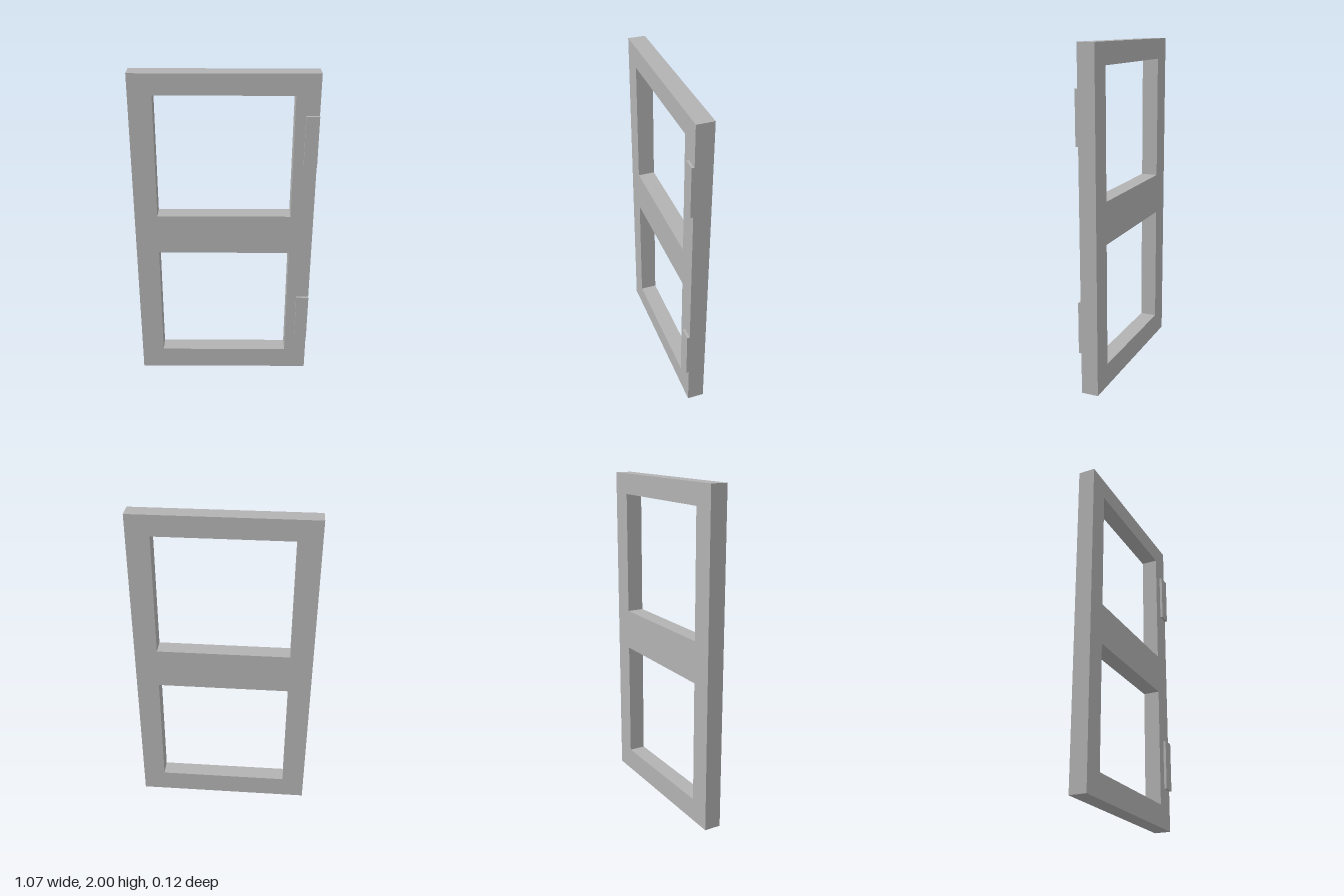
import * as THREE from 'three';

const W = 0.537, BACK = -0.059, FRONT = 0.043, PLATE_FRONT = 0.059;

// Counter-clockwise rectangle added to a shape or path
function rect(path, x0, y0, x1, y1) {
  path.moveTo(x0, y0);
  path.lineTo(x1, y0);
  path.lineTo(x1, y1);
  path.lineTo(x0, y1);
  path.closePath();
  return path;
}

export function createModel() {
  const group = new THREE.Group();
  group.name = 'doorFrame';
  const grey = new THREE.MeshStandardMaterial({ color: 0xb2b2b2 });
  grey.name = 'grey';

  // Frame with two openings, separated by a middle rail
  const outline = rect(new THREE.Shape(), -W, 0, W, 2);
  for (const [y0, y1] of [[0.14, 0.877], [1.127, 1.875]]) {
    outline.holes.push(rect(new THREE.Path(), -0.4, y0, 0.4, y1));
  }
  const frameGeometry = new THREE.ExtrudeGeometry(outline, { depth: FRONT - BACK, bevelEnabled: false });
  frameGeometry.translate(0, 0, BACK);
  const frame = new THREE.Mesh(frameGeometry, grey);
  frame.name = 'frame';
  group.add(frame);

  // Hinge plates raised from the front of the left stile
  const plateGeometry = new THREE.BoxGeometry(W - 0.46, 0.308, PLATE_FRONT - FRONT);
  for (const [name, y] of [['lowerHingePlate', 0.404], ['upperHingePlate', 1.605]]) {
    const plate = new THREE.Mesh(plateGeometry, grey);
    plate.name = name;
    plate.position.set((W + 0.46) / 2, y, (FRONT + PLATE_FRONT) / 2);
    group.add(plate);
  }
  return group;
}
